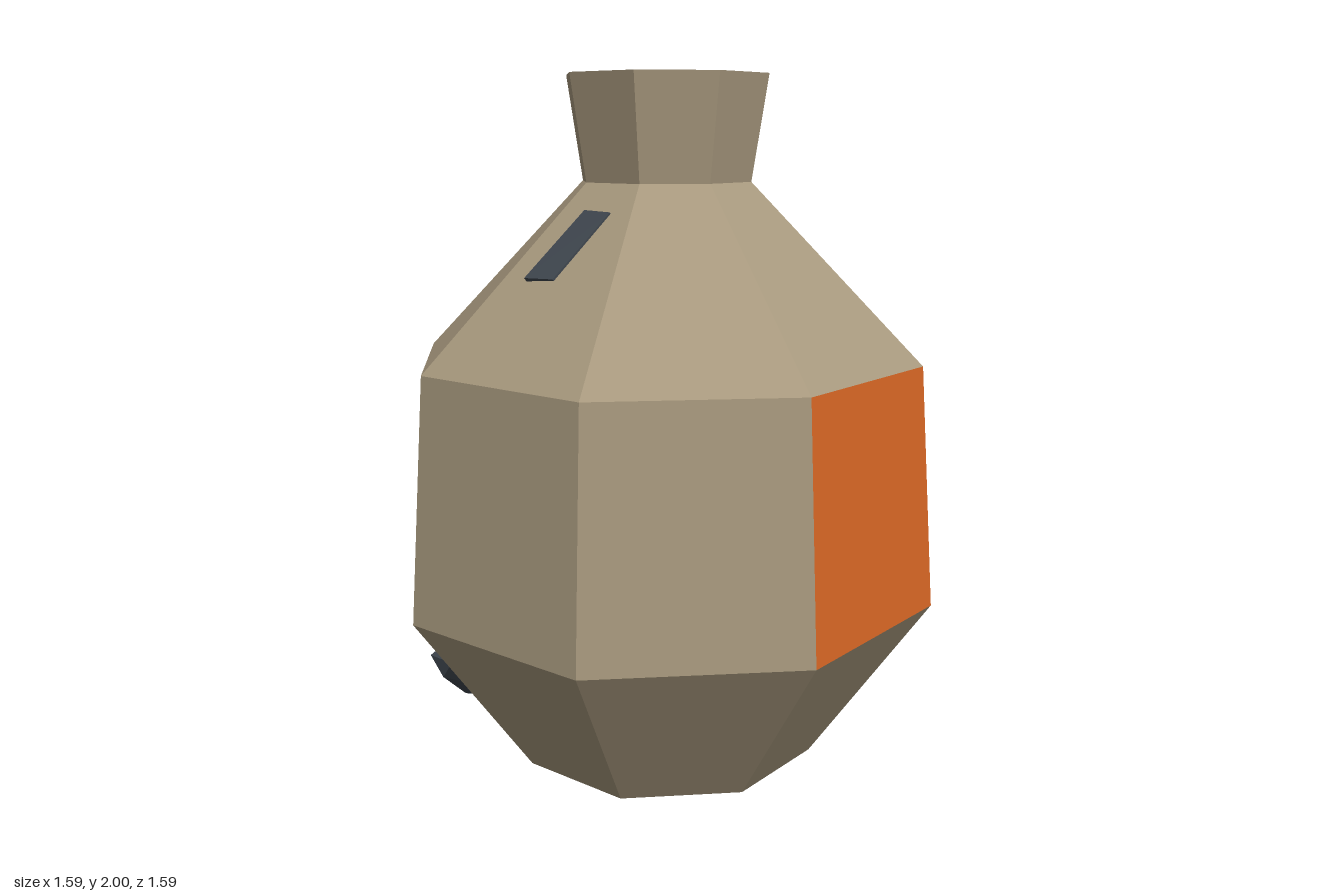
import * as THREE from 'three';
import { ConvexGeometry } from 'three/addons/geometries/ConvexGeometry.js';

const SIDES = 8;
const STEP = (Math.PI * 2) / SIDES;

function paint(name, color) {
  const material = new THREE.MeshStandardMaterial({ color });
  material.name = name;
  return material;
}

export function createModel() {
  const clay = paint('clay', 0xa8997e);
  const orange = paint('orange panel', 0xd96725);
  const stone = paint('dark stone', 0x3f464e);

  const model = new THREE.Group();
  model.name = 'pot';

  const add = (name, geometry, material, parent = model) => {
    const mesh = new THREE.Mesh(geometry, material);
    mesh.name = name;
    parent.add(mesh);
  };

  // Faceted ring between two heights, flat shaded
  const ring = (r0, y0, r1, y1, first = 0, count = SIDES) => {
    const g = new THREE.CylinderGeometry(r1, r0, y1 - y0, count, 1, true, first * STEP, count * STEP)
      .toNonIndexed();
    g.translate(0, (y0 + y1) / 2, 0);
    g.computeVertexNormals();
    return g;
  };

  // Flat octagonal lid, facing up or down
  const lid = (radius, y, up) => {
    const g = new THREE.CircleGeometry(radius, SIDES);
    g.rotateX(up ? -Math.PI / 2 : Math.PI / 2);
    g.translate(0, y, 0);
    return g;
  };

  // Pot body
  add('base', lid(0.45, 0.015, false), clay);
  add('lowerBody', ring(0.45, 0.015, 0.795, 0.51), clay);
  add('shoulder', ring(0.745, 1.205, 0.25, 1.705), clay);
  add('neck', ring(0.25, 1.705, 0.297, 2), clay);
  add('top', lid(0.297, 2, true), clay);

  // Belt of eight panels, three of them orange
  const belt = new THREE.Group();
  belt.name = 'belt';
  model.add(belt);
  for (let i = 0; i < SIDES; i++) {
    const isOrange = [0, 2, 5].includes(i);
    add(isOrange ? 'orangePanel' : 'clayPanel', ring(0.795, 0.51, 0.745, 1.205, i, 1),
      isOrange ? orange : clay, belt);
  }

  // Stones embedded in the clay
  const rock = (name, points) =>
    add(name, new ConvexGeometry(points.map((p) => new THREE.Vector3(...p))), stone);
  const level = (y, outline) => outline.map(([x, z]) => [x, y, z]);

  const wide = [[-0.1, -0.57], [0.2, -0.57], [0.29, -0.41], [0.2, -0.25], [-0.05, -0.25], [-0.15, -0.46]];
  const narrow = [[0, -0.42], [0.11, -0.42], [0.18, -0.28], [0.1, -0.2], [0, -0.2], [-0.07, -0.33]];
  rock('backShoulderStone', [...level(1.25, wide), ...level(1.42, wide), ...level(1.6, narrow)]);

  rock('sideShoulderStone', [
    [-0.475, 1.46, 0.08], [-0.295, 1.635, 0.08], [-0.26, 1.632, 0.165], [-0.43, 1.462, 0.165],
    [-0.43, 1.4, 0.08], [-0.25, 1.58, 0.08], [-0.22, 1.58, 0.165], [-0.39, 1.41, 0.165],
  ]);

  rock('lowerStone', [
    [-0.65, 0.33, -0.11], [-0.66, 0.27, -0.16], [-0.66, 0.3, -0.27], [-0.55, 0.15, -0.28],
    [-0.49, 0.13, -0.41], [-0.45, 0.2, -0.44], [-0.5, 0.3, -0.43],
    [-0.3, 0.1, -0.2], [-0.35, 0.3, -0.15],
  ]);

  const foot = [[0.11, -0.1], [0.17, 0.02], [0.3, 0.02], [0.36, -0.08], [0.3, -0.2], [0.17, -0.2]];
  rock('baseStone', [...level(0, foot), ...level(0.05, foot)]);

  rock('stoneTip', [
    [0.535, 0.185, -0.08], [0.512, 0.175, -0.14], [0.51, 0.15, -0.1], [0.46, 0.18, -0.1],
  ]);

  return model;
}
